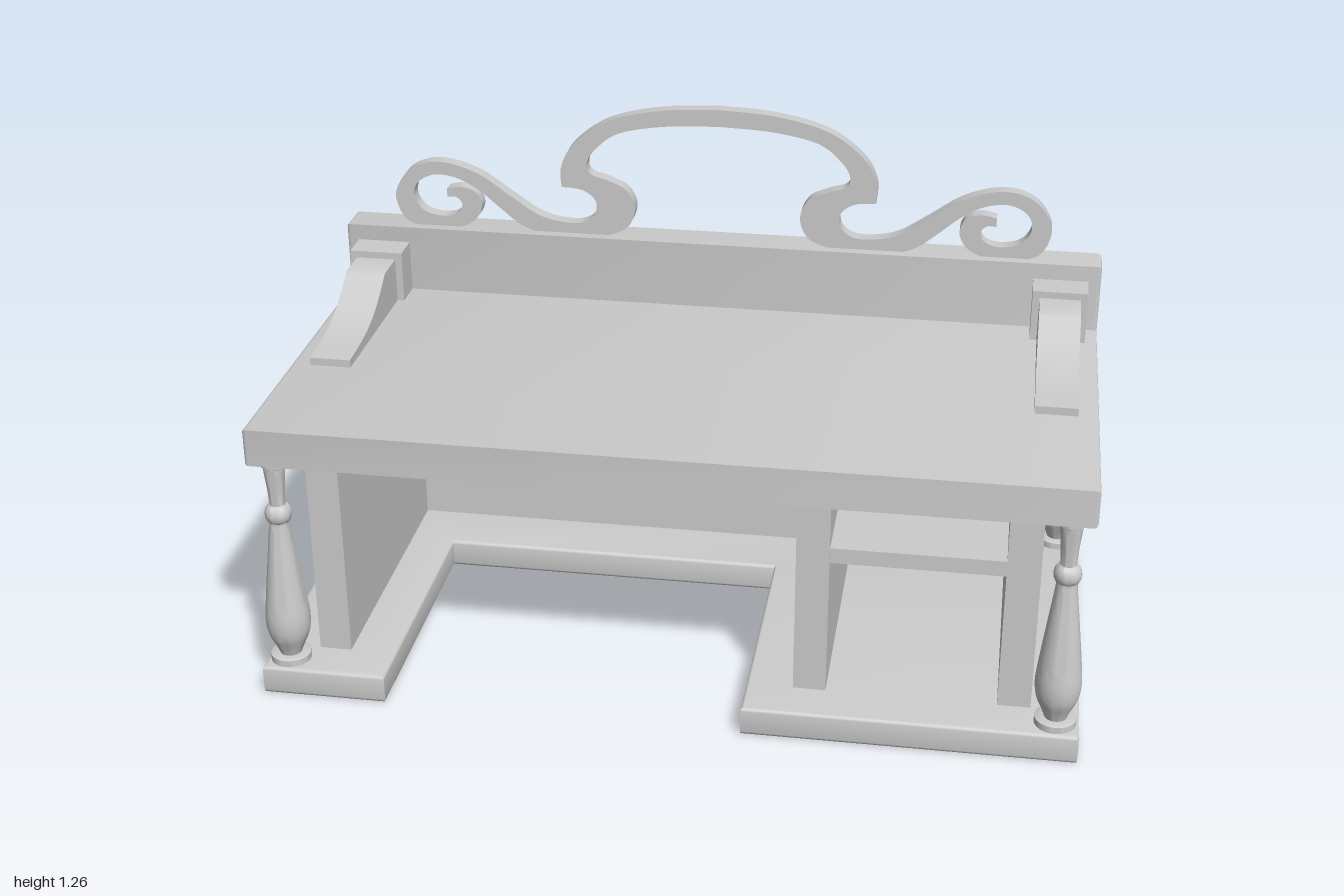
import * as THREE from 'three';
import { toCreasedNormals } from 'three/addons/utils/BufferGeometryUtils.js';

const material = new THREE.MeshStandardMaterial({ color: 0xcccccc });
const vec = ([x, y]) => new THREE.Vector2(x, y);

function add(parent, name, geometry, x = 0, y = 0, z = 0) {
  const mesh = new THREE.Mesh(geometry, material);
  mesh.name = name;
  mesh.position.set(x, y, z);
  parent.add(mesh);
  return mesh;
}

// Box given by its limits on each axis
function box(parent, name, [x0, x1], [y0, y1], [z0, z1]) {
  return add(parent, name, new THREE.BoxGeometry(x1 - x0, y1 - y0, z1 - z0),
    (x0 + x1) / 2, (y0 + y1) / 2, (z0 + z1) / 2);
}

// Outline extruded to a thickness centred on zero, with softened edges of size b
function slab(points, thickness, b = 0) {
  const geometry = new THREE.ExtrudeGeometry(new THREE.Shape(points), {
    depth: thickness - 2 * b, bevelEnabled: b > 0,
    bevelSize: b, bevelThickness: b, bevelOffset: -b, bevelSegments: 3,
  });
  geometry.translate(0, 0, -thickness / 2 + b);
  return geometry;
}

// Outlines drawn as (-z, y) are turned so that they run along x
const alongX = (geometry) => toCreasedNormals(geometry.rotateY(Math.PI / 2), 0.6);

// Half of the crest: smooth runs that meet at corners
const crestRuns = [
  [[0, 1.262], [0.15, 1.252], [0.285, 1.218], [0.375, 1.155], [0.413, 1.09], [0.414, 1.03]],
  [[0.414, 1.03], [0.36, 1.025], [0.325, 1.0], [0.323, 0.965], [0.345, 0.94], [0.39, 0.93],
    [0.47, 0.945], [0.55, 0.995], [0.64, 1.055], [0.74, 1.082], [0.82, 1.06], [0.863, 1.0],
    [0.862, 0.955], [0.84, 0.915], [0.8, 0.898]],
  [[0.7, 0.898], [0.655, 0.92], [0.632, 0.96], [0.645, 1.0], [0.685, 1.015], [0.725, 1.008]],
  [[0.725, 0.985], [0.7, 0.985], [0.685, 0.965], [0.7, 0.94], [0.74, 0.93], [0.79, 0.943],
    [0.815, 0.98], [0.805, 1.02], [0.76, 1.045], [0.7, 1.04], [0.64, 1.01], [0.58, 0.96],
    [0.53, 0.92], [0.48, 0.898]],
  [[0.3, 0.898], [0.24, 0.925], [0.218, 0.98], [0.24, 1.03], [0.29, 1.055], [0.335, 1.07],
    [0.345, 1.1], [0.32, 1.14], [0.26, 1.185], [0.14, 1.21], [0, 1.217]],
];

function crestGeometry() {
  const half = [];
  for (const run of crestRuns) {
    for (const p of new THREE.SplineCurve(run.map(vec)).getPoints(run.length * 5)) {
      if (!half.length || half[half.length - 1].distanceTo(p) > 1e-4) half.push(p);
    }
  }
  const mirrored = half.slice(1, -1).reverse().map((p) => new THREE.Vector2(-p.x, p.y));
  return toCreasedNormals(slab([...half, ...mirrored], 0.038), 0.6);
}

// Turned post from plinth disc to cap
function postGeometry() {
  const belly = new THREE.SplineCurve([[0.027, 0.094], [0.035, 0.115], [0.05, 0.15],
    [0.055, 0.19], [0.051, 0.24], [0.039, 0.34], [0.029, 0.42], [0.024, 0.464]].map(vec)).getPoints(24);
  const ring = [[0.028, 0.467], [0.032, 0.476], [0.033, 0.486], [0.031, 0.497], [0.026, 0.505]];
  const neck = [[0.019, 0.51], [0.021, 0.55], [0.025, 0.59], [0.027, 0.612], [0.031, 0.615], [0.031, 0.632]];
  const plinth = [[0, 0.074], [0.05, 0.074], [0.05, 0.092], [0.047, 0.094]];
  const profile = [...plinth.map(vec), ...belly, ...ring.map(vec), ...neck.map(vec)];
  return toCreasedNormals(new THREE.LatheGeometry(profile, 32), 0.7);
}

export function createModel() {
  const desk = new THREE.Group();
  desk.name = 'desk';

  // Floor plinth with the knee space cut out at the front
  const base = slab([[-1, -0.5], [-0.69, -0.5], [-0.69, 0.185], [0.195, 0.185],
    [0.195, -0.5], [1, -0.5], [1, 0.5], [-1, 0.5]].map(vec), 0.075, 0.009);
  base.rotateX(-Math.PI / 2);
  add(desk, 'base', toCreasedNormals(base, 0.6), 0, 0.0375, 0);

  // Worktop and backboard in one profile
  const top = slab([[-0.485, 0.63], [0.5, 0.63], [0.5, 0.902], [0.405, 0.902],
    [0.405, 0.725], [-0.485, 0.725]].map(vec), 2, 0.009);
  add(desk, 'worktopAndBackboard', alongX(top));

  // Cabinet panels and shelf
  const height = [0.07, 0.635];
  const depth = [-0.385, 0.39];
  box(desk, 'rightSidePanel', [-0.885, -0.805], height, depth);
  box(desk, 'leftSidePanel', [0.805, 0.885], height, depth);
  box(desk, 'dividerPanel', [0.31, 0.39], height, [-0.36, 0.39]);
  box(desk, 'backPanel', [-0.85, 0.85], height, [-0.385, -0.345]);
  box(desk, 'shelf', [0.38, 0.815], [0.43, 0.47], [-0.36, 0.385]);

  // Curved brackets with their blocks, and the four corner posts
  const slope = new THREE.SplineCurve([[0.225, 0.842], [0.163, 0.803], [0.097, 0.772],
    [0.01, 0.753], [-0.11, 0.745]].map(vec)).getPoints(20);
  const bracket = alongX(slab([vec([-0.11, 0.72]), vec([0.33, 0.72]), vec([0.33, 0.842]), ...slope], 0.104));
  const post = postGeometry();
  for (const side of [-1, 1]) {
    add(desk, 'bracket', bracket, side * 0.898);
    const x = side * 0.898;
    box(desk, 'bracketBlock', [x - 0.07, x + 0.07], [0.72, 0.86], [-0.41, -0.322]);
    for (const z of [0.442, -0.442]) add(desk, z > 0 ? 'frontPost' : 'backPost', post, side * 0.943, 0, z);
  }

  // Scrolled crest on the backboard
  add(desk, 'crest', crestGeometry(), 0, 0, -0.452);
  return desk;
}
